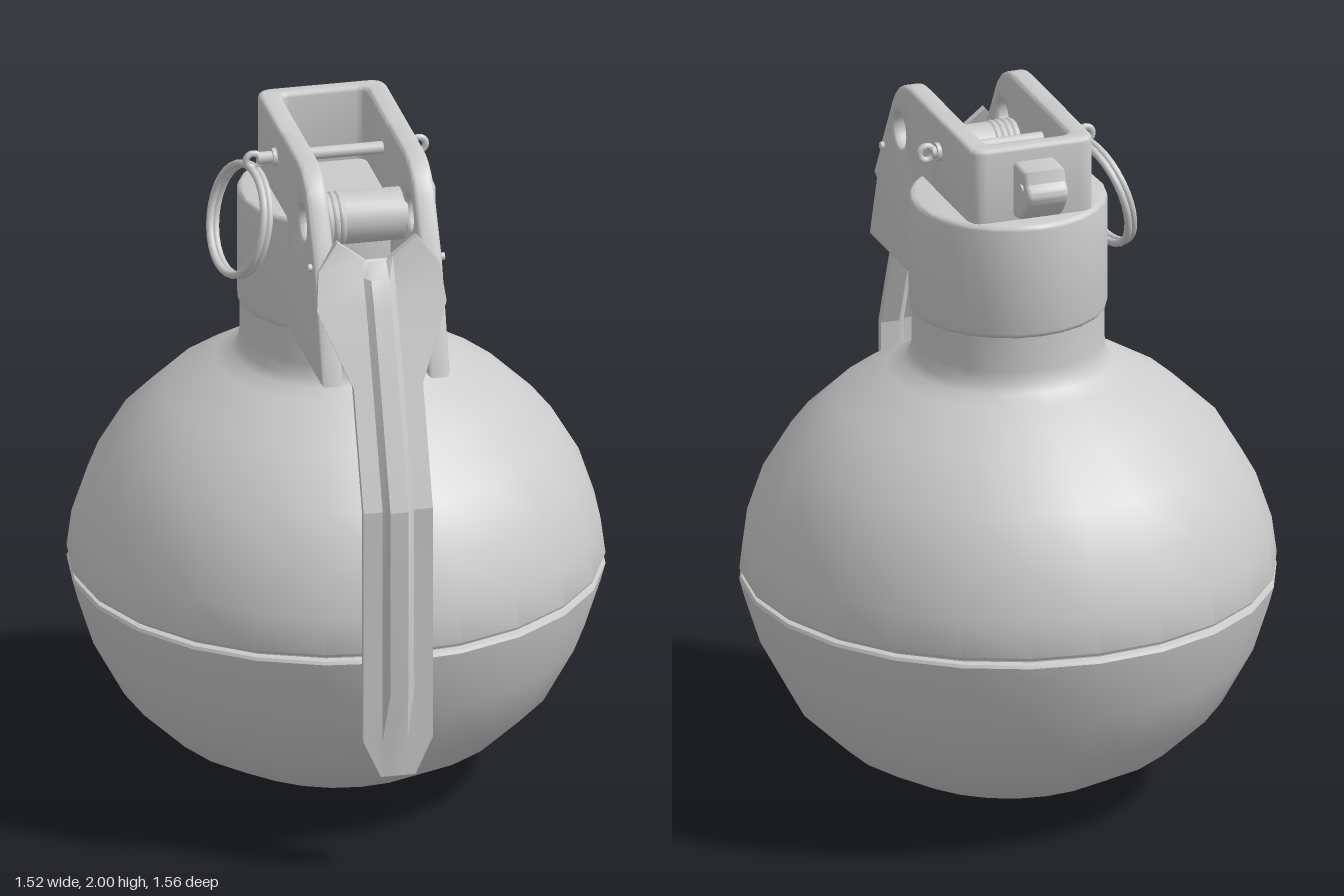
import * as THREE from 'three';
import { toCreasedNormals } from 'three/addons/utils/BufferGeometryUtils.js';

const grey = new THREE.MeshStandardMaterial({ color: 0xcccccc });
const greyDouble = new THREE.MeshStandardMaterial({ color: 0xcccccc, side: THREE.DoubleSide });
const AXIS_Z = -0.022; // centre line of body and collar

function add(parent, name, geometry, material = grey) {
  const mesh = new THREE.Mesh(geometry, material);
  mesh.name = name;
  parent.add(mesh);
  return mesh;
}

const crease = (g, angle = 0.6) => toCreasedNormals(g, angle);
const points = (list) => list.map(([x, y]) => new THREE.Vector2(x, y));

function bevelled(shape, depth, bevel) {
  return new THREE.ExtrudeGeometry(shape, {
    depth: depth - 2 * bevel, bevelEnabled: true, bevelThickness: bevel,
    bevelSize: bevel, bevelOffset: -bevel, bevelSegments: 3, curveSegments: 10,
  }).translate(0, 0, bevel);
}

// Shape drawn in (z, y), extruded across x and centred on cx
const acrossX = (shape, width, cx, bevel) =>
  crease(bevelled(shape, width, bevel).translate(0, 0, -width / 2).rotateY(-Math.PI / 2).translate(cx, 0, 0));

// Shape drawn in (x, z), extruded down from the height top
const downFrom = (shape, height, top, bevel) =>
  crease(bevelled(shape, height, bevel).rotateX(Math.PI / 2).translate(0, top, 0));

// Cylinder lying along x
const rod = (r, x0, x1, y, z, sides = 16) =>
  crease(new THREE.CylinderGeometry(r, r, x1 - x0, sides).rotateZ(Math.PI / 2).translate((x0 + x1) / 2, y, z));

// Lever: closed cross-sections with a raised central rib, swept down a bent path
function leverGeometry() {
  // edge y, centre y, z, half width, rib height
  const rows = [
    [1.83, 1.74, 0.5, 0.115, 0.0],
    [1.755, 1.715, 0.525, 0.175, 0.014],
    [1.65, 1.65, 0.56, 0.187, 0.016],
    [1.44, 1.44, 0.643, 0.1, 0.016],
    [1.11, 1.11, 0.767, 0.1, 0.016],
    [0.55, 0.55, 0.767, 0.1, 0.014],
    [0.41, 0.41, 0.767, 0.1, 0.004],
    [0.3, 0.3, 0.767, 0.05, 0.0],
  ];
  const position = [], index = [];
  const n = 12;
  rows.forEach(([yEdge, yMid, z, w, rib]) => {
    const inner = Math.min(0.045, w * 0.8), crest = Math.min(0.026, w * 0.4);
    const xs = [-w, -inner, -crest, crest, inner, w];
    const hs = [0, 0, rib, rib, 0, 0];
    const ys = xs.map((x) => yMid + (yEdge - yMid) * Math.abs(x) / w);
    for (let i = 0; i < 6; i++) position.push(xs[i], ys[i], z + hs[i]);
    for (let i = 5; i >= 0; i--) position.push(xs[i], ys[i], z + hs[i] - 0.022);
  });
  for (let r = 0; r < rows.length - 1; r++) {
    for (let i = 0; i < n; i++) {
      const a = r * n + i, b = r * n + (i + 1) % n;
      index.push(a, a + n, b, b, a + n, b + n);
    }
  }
  // End caps
  const last = (rows.length - 1) * n;
  for (let i = 0; i < 5; i++) {
    const j = 11 - i;
    index.push(i, i + 1, j, i + 1, j - 1, j);
    index.push(last + i, last + j, last + i + 1, last + i + 1, last + j, last + j - 1);
  }
  const g = new THREE.BufferGeometry();
  g.setAttribute('position', new THREE.Float32BufferAttribute(position, 3));
  g.setIndex(index);
  return crease(g, 0.35);
}

export function createModel() {
  const model = new THREE.Group();
  model.name = 'model';

  // Round body with seam groove and neck
  const body = points([
    [0, 0], [0.165, 0.02], [0.32, 0.068], [0.48, 0.152], [0.61, 0.275], [0.7, 0.44], [0.745, 0.58],
    [0.759, 0.632], [0.754, 0.641], [0.738, 0.645], [0.738, 0.651], [0.754, 0.655], [0.759, 0.664],
    [0.745, 0.77], [0.7, 0.905], [0.62, 1.04], [0.49, 1.165], [0.34, 1.255], [0.295, 1.28],
    [0.277, 1.305], [0.272, 1.34], [0.272, 1.46],
  ]);
  add(model, 'body', crease(new THREE.LatheGeometry(body, 24).translate(0, 0, AXIS_Z), 0.65));

  // Collar: round at the back, ending in a shallow point between the side plates
  const collar = new THREE.Shape();
  const half = Math.asin(0.17 / 0.28);
  collar.absarc(0, AXIS_Z, 0.28, Math.PI / 2 + half, Math.PI * 2.5 - half, false);
  collar.lineTo(0.13, 0.13);
  collar.lineTo(0, 0.165);
  collar.lineTo(-0.13, 0.13);
  add(model, 'collar', downFrom(collar, 0.34, 1.78, 0.015));

  // Frame: rounded U-shaped rear and two side plates
  const frame = new THREE.Group();
  frame.name = 'frame';
  model.add(frame);
  const O = 0.186, I = 0.122, zb = -0.236, zi = -0.186, zf = 0.1;
  const rear = new THREE.Shape();
  rear.moveTo(O, zf);
  rear.lineTo(I, zf);
  rear.lineTo(I, zi + 0.03);
  rear.quadraticCurveTo(I, zi, I - 0.03, zi);
  rear.lineTo(-I + 0.03, zi);
  rear.quadraticCurveTo(-I, zi, -I, zi + 0.03);
  rear.lineTo(-I, zf);
  rear.lineTo(-O, zf);
  rear.lineTo(-O, zb + 0.05);
  rear.quadraticCurveTo(-O, zb, -O + 0.05, zb);
  rear.lineTo(O - 0.05, zb);
  rear.quadraticCurveTo(O, zb, O, zb + 0.05);
  add(frame, 'frameRear', downFrom(rear, 0.3, 2, 0.014));

  const plate = new THREE.Shape();
  plate.moveTo(0, 1.44);
  plate.lineTo(0.615, 1.44);
  plate.lineTo(0.515, 1.76);
  plate.lineTo(0.435, 1.9);
  plate.quadraticCurveTo(0.385, 2, 0.28, 2);
  plate.lineTo(0, 2);
  plate.holes.push(new THREE.Path().absarc(0.365, 1.845, 0.05, 0, Math.PI * 2, true));
  for (const s of [-1, 1]) {
    add(frame, 'sidePlate', acrossX(plate, O - I, s * (O + I) / 2, 0.014));
    add(frame, 'pinBoss', rod(0.026, s * O - 0.012, s * O + 0.012, 1.905, 0.033));
  }
  add(frame, 'frameFloor', new THREE.BoxGeometry(0.26, 0.03, 0.18).translate(0, 1.67, 0.43));
  add(frame, 'floorStud', crease(new THREE.CylinderGeometry(0.027, 0.027, 0.06, 12).translate(-0.07, 1.7, 0.42)));

  // Spring drum with coils at one end
  add(model, 'springDrum', rod(0.075, -0.07, 0.13, 1.8, 0.26, 20));
  for (let i = 0; i < 4; i++) {
    add(model, 'springCoil', new THREE.TorusGeometry(0.066, 0.013, 8, 20)
      .rotateY(Math.PI / 2).translate(-0.112 + i * 0.018, 1.8, 0.26));
  }

  // Lever and its hinge axle
  add(model, 'lever', leverGeometry(), greyDouble);
  add(model, 'leverAxle', rod(0.011, -0.197, 0.197, 1.755, 0.487, 12));

  // Pull pin with an eye at each end
  add(model, 'pullPin', rod(0.018, -0.24, 0.21, 1.905, 0.033, 12));
  add(model, 'pinEye', new THREE.TorusGeometry(0.021, 0.01, 8, 16).translate(0.225, 1.905, 0.033));
  add(model, 'pinEye', new THREE.TorusGeometry(0.021, 0.01, 8, 16).translate(-0.252, 1.9, 0.033));

  // Split ring hanging from the pin: two turns side by side
  const normal = new THREE.Vector3(0.94, -0.24, -0.21).normalize();
  for (const s of [-1, 1]) {
    const ring = add(model, 'pullRing', new THREE.TorusGeometry(0.158, 0.011, 8, 32));
    ring.quaternion.setFromUnitVectors(new THREE.Vector3(0, 0, 1), normal);
    ring.position.set(-0.29, 1.722, 0.03).addScaledVector(normal, s * 0.009);
  }

  // Rear catch with its cross pin
  const catchShape = new THREE.Shape();
  catchShape.moveTo(-0.22, 1.955);
  catchShape.lineTo(-0.325, 1.955);
  catchShape.lineTo(-0.335, 1.92);
  catchShape.quadraticCurveTo(-0.375, 1.895, -0.345, 1.855);
  catchShape.lineTo(-0.31, 1.815);
  catchShape.quadraticCurveTo(-0.28, 1.79, -0.22, 1.79);
  add(model, 'rearCatch', acrossX(catchShape, 0.122, 0, 0.01));
  add(model, 'catchPin', rod(0.013, -0.066, 0.066, 1.9, -0.305, 10));

  return model;
}
